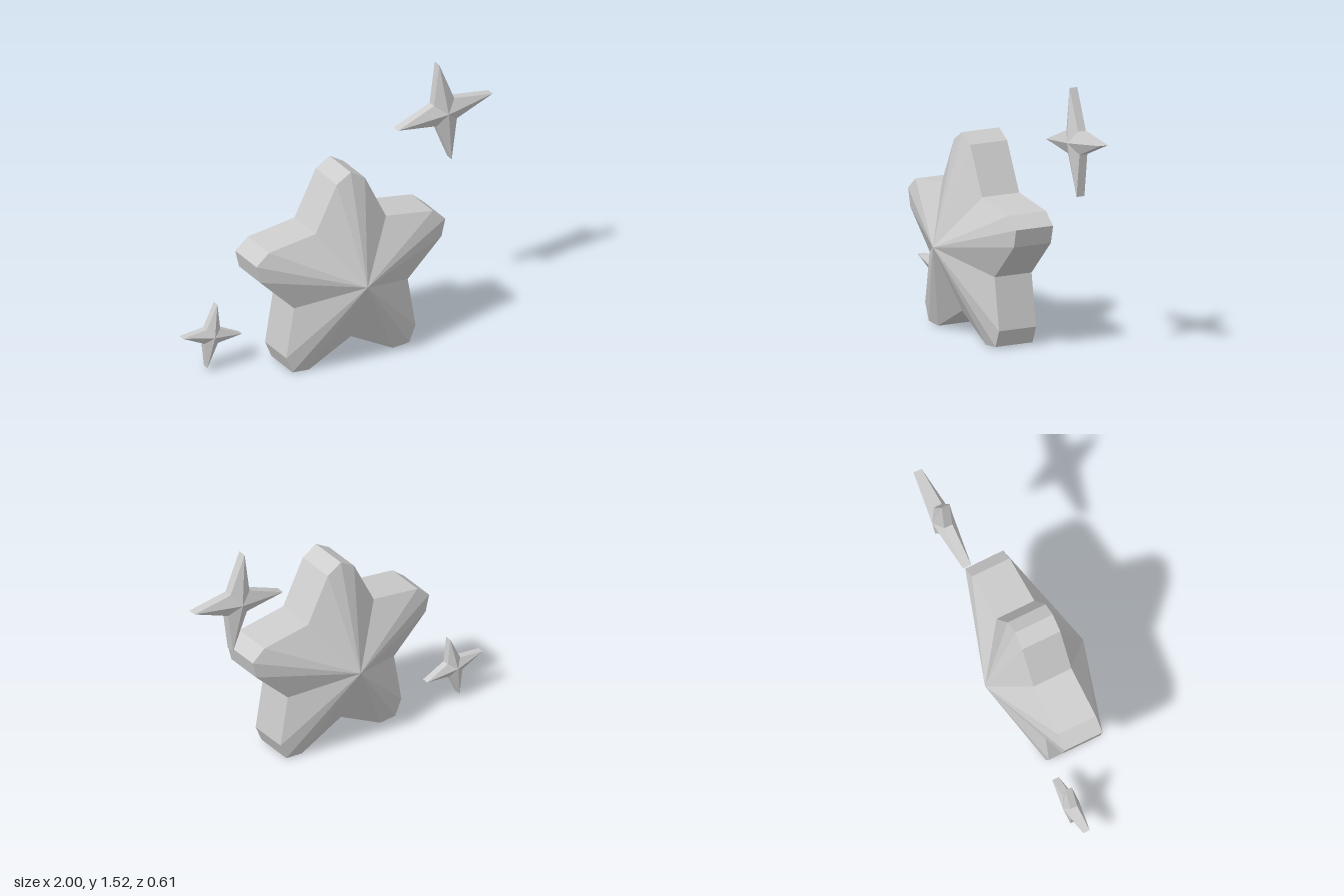
import * as THREE from 'three';

// Faceted star: an outline with a straight rim, rising to a peak on the front and back.
// outline: counter-clockwise [x, y] corners around the origin
function starGeometry(outline, rim, peak) {
  const pos = [];
  const n = outline.length;
  for (let i = 0; i < n; i++) {
    const [ax, ay] = outline[i];
    const [bx, by] = outline[(i + 1) % n];
    pos.push(0, 0, peak, ax, ay, rim, bx, by, rim); // front facet
    pos.push(0, 0, -peak, bx, by, -rim, ax, ay, -rim); // back facet
    pos.push(ax, ay, rim, ax, ay, -rim, bx, by, -rim); // rim wall
    pos.push(ax, ay, rim, bx, by, -rim, bx, by, rim);
  }
  const geo = new THREE.BufferGeometry();
  geo.setAttribute('position', new THREE.Float32BufferAttribute(pos, 3));
  geo.computeVertexNormals();
  return geo;
}

// Repeats one arm, given as [radius, degrees from the arm axis], around the centre
function radialOutline(arms, arm, turn = 0) {
  const pts = [];
  for (let i = 0; i < arms; i++) {
    for (const [r, deg] of arm) {
      const a = THREE.MathUtils.degToRad(90 + turn + (i * 360) / arms + deg);
      pts.push([r * Math.cos(a), r * Math.sin(a)]);
    }
  }
  return pts;
}

export function createModel() {
  const group = new THREE.Group();
  const grey = new THREE.MeshStandardMaterial({ color: 0xcccccc });
  grey.name = 'light grey';

  const addStar = (name, outline, rim, peak, x, y, z) => {
    const mesh = new THREE.Mesh(starGeometry(outline, rim, peak), grey);
    mesh.name = name;
    mesh.position.set(x, y, z);
    group.add(mesh);
  };

  // Large five-armed star with blunted tips
  const bluntArm = [[0.587, -8.8], [0.635, 0], [0.587, 8.8], [0.382, 36]];
  addStar('largeStar', radialOutline(5, bluntArm), 0.118, 0.305, -0.067, 0.527, 0);

  // Two four-pointed sparkles, slightly tilted
  addStar('upperSparkle', radialOutline(4, [[0.305, 0], [0.092, 45]], 7.5),
    0.025, 0.063, 0.695, 1.225, -0.18);
  addStar('lowerSparkle', radialOutline(4, [[0.192, 0], [0.061, 45]], -9.5),
    0.02, 0.05, -0.81, 0.222, -0.15);

  return group;
}
